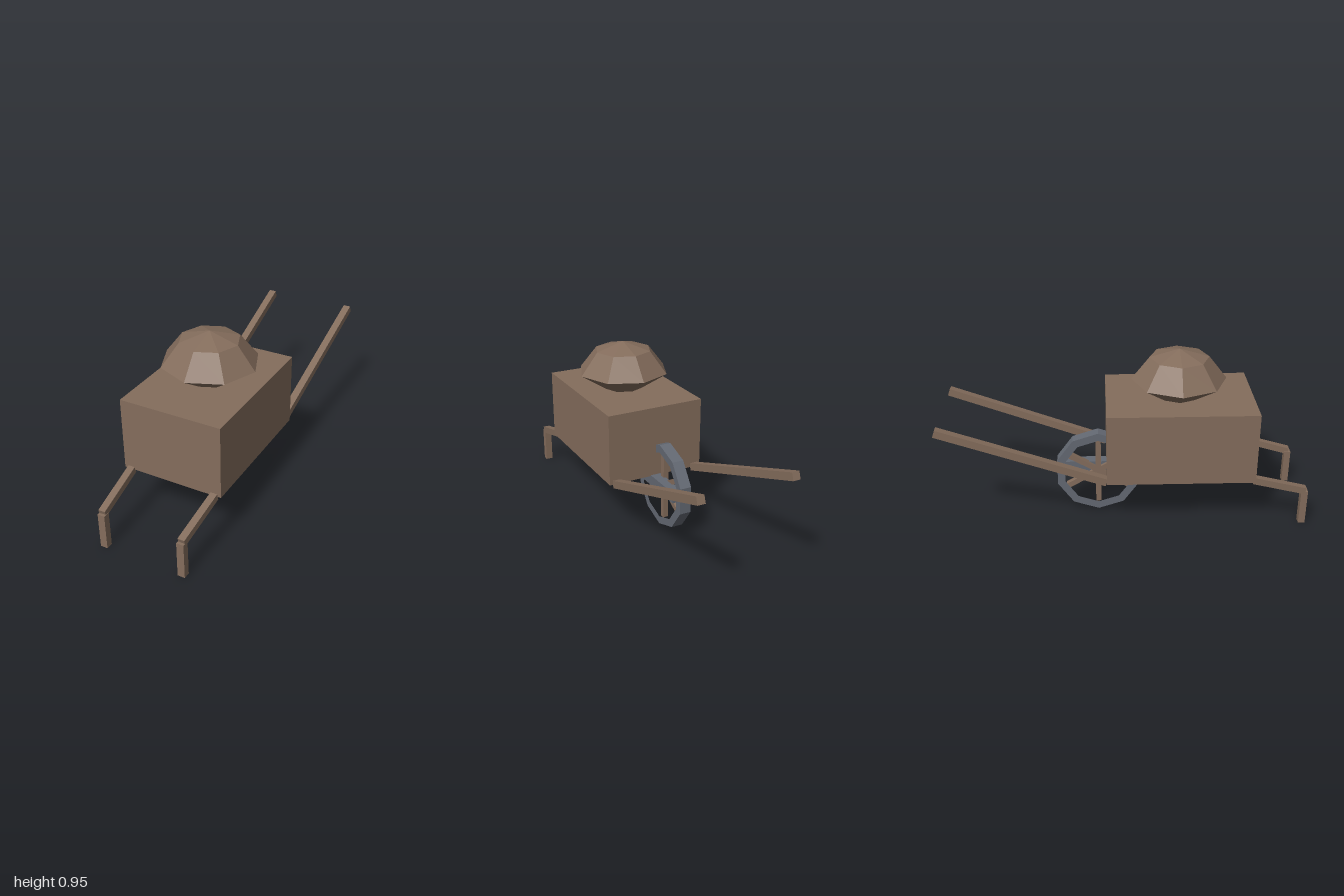
import * as THREE from 'three';

const wood = new THREE.MeshStandardMaterial({ name: 'brown wood', color: 0x846d5c, flatShading: true });
const iron = new THREE.MeshStandardMaterial({ name: 'grey iron', color: 0x646973, flatShading: true });

function box(name, w, h, d, x, y, z, material = wood) {
  const mesh = new THREE.Mesh(new THREE.BoxGeometry(w, h, d), material);
  mesh.name = name;
  mesh.position.set(x, y, z);
  return mesh;
}

// Square bar whose end faces sit at points a and b
function beam(name, a, b, size) {
  const start = new THREE.Vector3(...a), end = new THREE.Vector3(...b);
  const mid = start.clone().add(end).multiplyScalar(0.5);
  const mesh = box(name, size, size, start.distanceTo(end), mid.x, mid.y, mid.z);
  mesh.lookAt(end);
  return mesh;
}

function polygon(path, radius, sides) {
  const points = [];
  for (let i = 0; i < sides; i++) {
    const a = (i / sides) * Math.PI * 2;
    points.push(new THREE.Vector2(Math.sin(a) * radius, Math.cos(a) * radius));
  }
  return path.setFromPoints(points);
}

function createWheel() {
  const wheel = new THREE.Group();
  wheel.name = 'wheel';
  wheel.position.set(-0.0325, 0.243, -0.145);

  // Ten-sided rim with a flat section
  const shape = polygon(new THREE.Shape(), 0.24, 10);
  shape.holes.push(polygon(new THREE.Path(), 0.195, 10));
  const geometry = new THREE.ExtrudeGeometry(shape, { depth: 0.065, bevelEnabled: false });
  geometry.translate(0, 0, -0.0325).rotateY(Math.PI / 2);
  const rim = new THREE.Mesh(geometry, iron);
  rim.name = 'rim';
  wheel.add(rim);

  // Three bars across the wheel make six spokes
  for (let i = 0; i < 3; i++) {
    const spoke = box('spoke', 0.03, 0.4, 0.03, 0, 0, 0);
    spoke.rotation.x = (i * Math.PI) / 3;
    wheel.add(spoke);
  }
  return wheel;
}

export function createModel() {
  const model = new THREE.Group();
  model.name = 'wheelbarrow';

  model.add(box('tray', 0.56, 0.4, 0.8, 0, 0.485, 0.3));

  // Faceted heap on the tray
  const profile = [[0, 0.685], [0.113, 0.685], [0.257, 0.78], [0.16, 0.904], [0, 0.95]];
  const heap = new THREE.Mesh(
    new THREE.LatheGeometry(profile.map(([r, y]) => new THREE.Vector2(r, y)), 8), wood);
  heap.name = 'heap';
  heap.position.z = 0.295;
  model.add(heap);

  // Wheel and the bar beside it
  model.add(createWheel());
  model.add(box('wheelBar', 0.06, 0.06, 0.4, 0, 0.26, -0.145, iron));

  // Handles and bent legs on both sides
  for (const s of [1, -1]) {
    model.add(beam('handle', [s * 0.241, 0.287, -0.1], [s * 0.257, 0.606, -0.99], 0.042));
    model.add(beam('legBrace', [s * 0.241, 0.282, 0.695], [s * 0.226, 0.203, 0.985], 0.038));
    model.add(box('leg', 0.04, 0.2, 0.037, s * 0.225, 0.1, 0.981));
  }
  return model;
}
